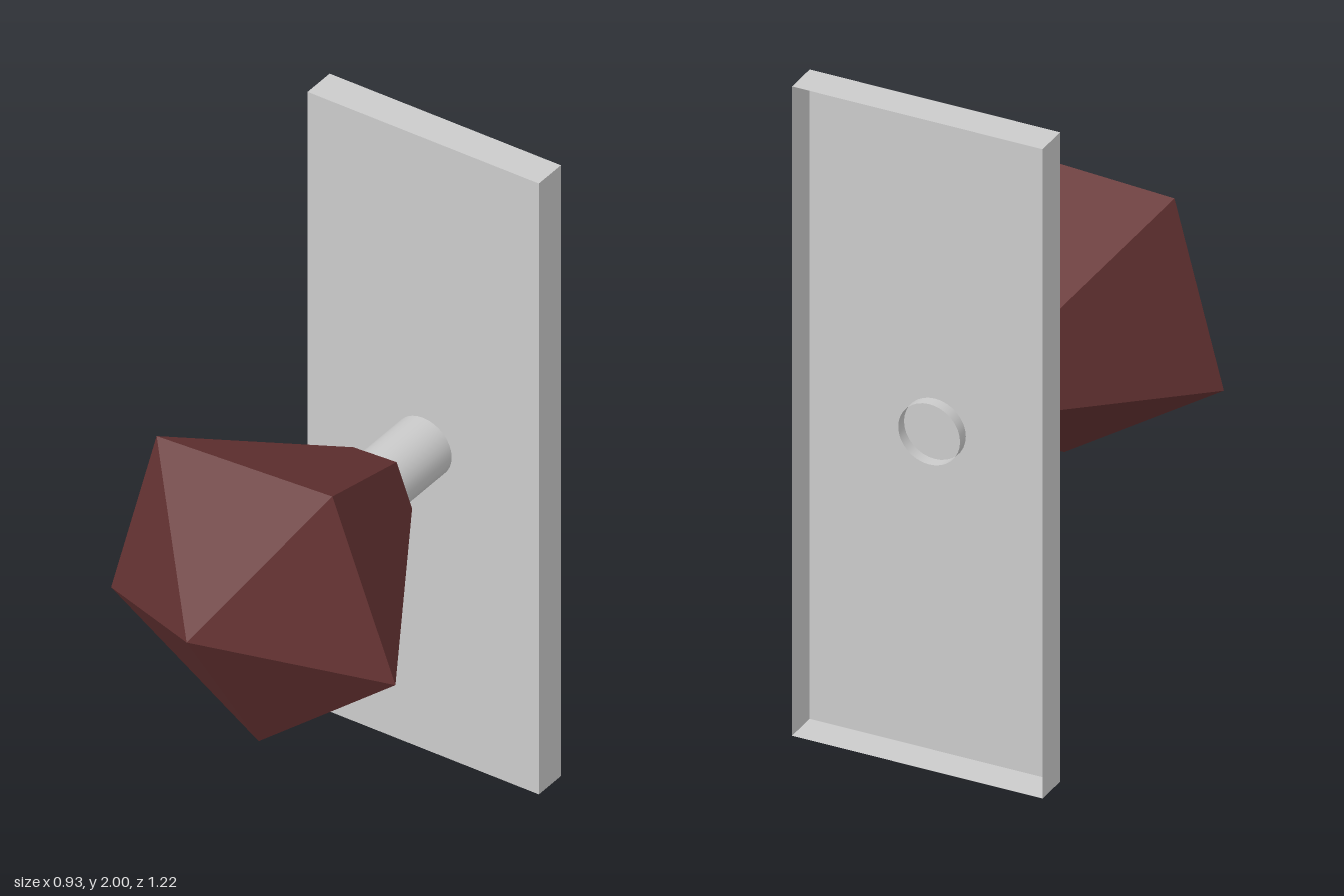
import * as THREE from 'three';

const CX = -0.01, CY = 0.99; // axis shared by knob and shaft

function addMesh(group, name, geometry, material) {
  const mesh = new THREE.Mesh(geometry, material);
  mesh.name = name;
  group.add(mesh);
  return mesh;
}

export function createModel() {
  const model = new THREE.Group();
  model.name = 'doorKnob';
  const grey = new THREE.MeshStandardMaterial({ color: 0xcccccc, side: THREE.DoubleSide });
  const darkRed = new THREE.MeshStandardMaterial({ color: 0x663333, flatShading: true });

  // Back plate: thin shell, open at the rear (the last box side is dropped)
  const plate = new THREE.BoxGeometry(0.754, 2, 0.104);
  plate.setIndex(Array.from(plate.index.array).slice(0, 30));
  plate.clearGroups();
  addMesh(model, 'backPlate', plate, grey).position.set(CX, 1, -0.558);

  // Shaft: open tube whose rear end pokes through the plate
  const front = -0.286, rear = -0.54;
  const shaft = new THREE.CylinderGeometry(0.093, 0.093, front - rear, 32, 1, true);
  shaft.rotateX(Math.PI / 2);
  addMesh(model, 'shaft', shaft, grey).position.set(CX, CY, (front + rear) / 2);

  // Knob: five-sided faceted jewel, turned slightly about its axis
  const profile = [[0, -0.286], [0.12, -0.286], [0.488, 0.307], [0, 0.61]]
    .map(([r, z]) => new THREE.Vector2(r, z));
  const knob = new THREE.LatheGeometry(profile, 5, THREE.MathUtils.degToRad(3));
  knob.rotateX(Math.PI / 2);
  addMesh(model, 'knob', knob, darkRed).position.set(CX, CY, 0);

  return model;
}
